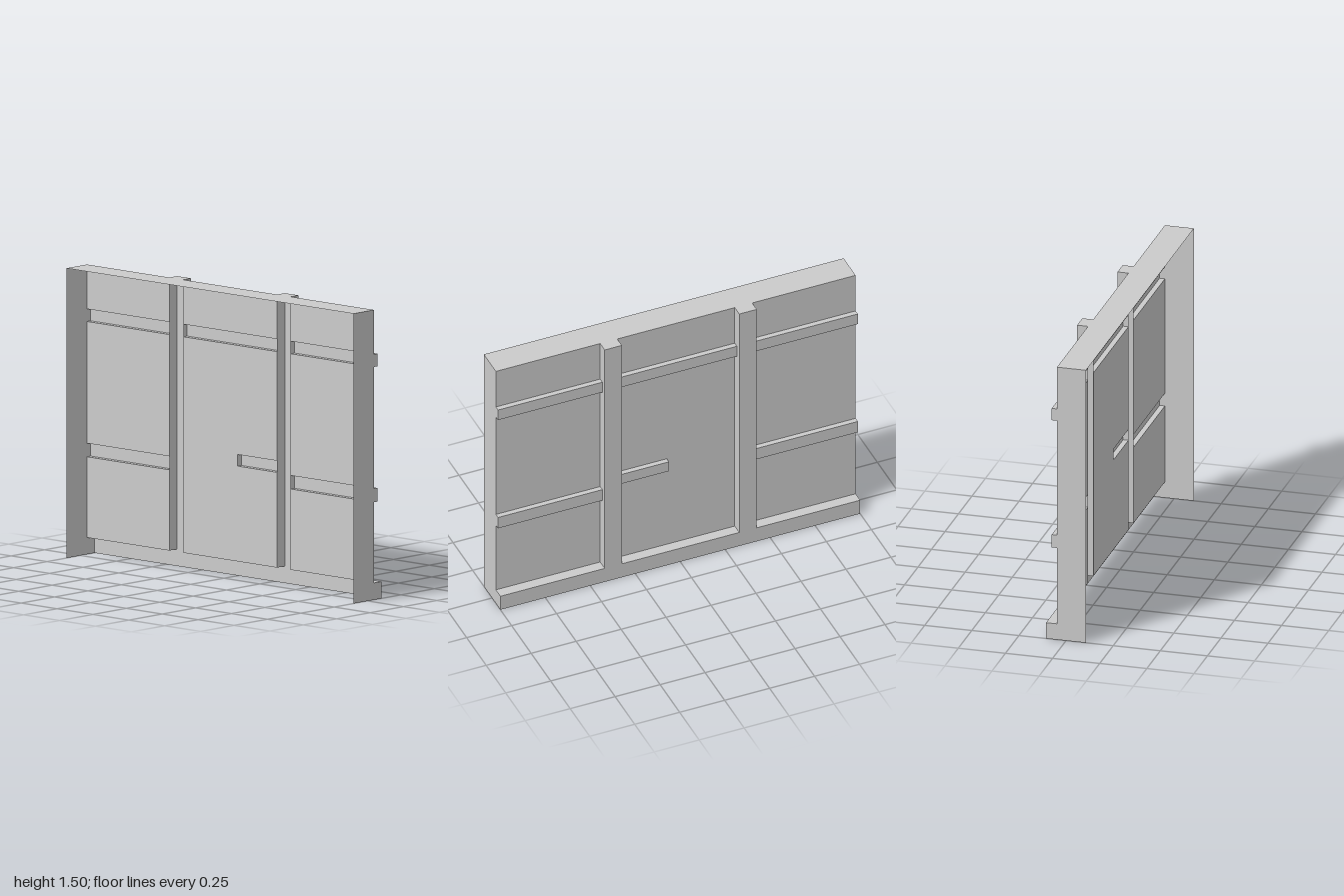
import * as THREE from 'three';
import { mergeGeometries } from 'three/addons/utils/BufferGeometryUtils.js';

// Depth levels along x
const BACK = -0.106, PANEL = 0.048, RAIL = 0.076, POST = 0.106;
// Heights
const TOP = 1.5, BASE = 0.087;
const UPPER = [1.205, 1.27], LOWER = [0.505, 0.575], GRIP = [0.58, 0.64];

const material = new THREE.MeshStandardMaterial({ color: 0xcccccc, side: THREE.DoubleSide });

// Open thin-walled box: only the listed faces are made
// (o = outer +x face, t = top, b = bottom, n / p = the -z / +z end)
function shell(name, [x0, x1], [y0, y1], [z0, z1], faces) {
  const w = x1 - x0, h = y1 - y0, d = z1 - z0;
  const make = {
    o: () => new THREE.PlaneGeometry(d, h).rotateY(Math.PI / 2).translate(w / 2, 0, 0),
    t: () => new THREE.PlaneGeometry(w, d).rotateX(-Math.PI / 2).translate(0, h / 2, 0),
    b: () => new THREE.PlaneGeometry(w, d).rotateX(Math.PI / 2).translate(0, -h / 2, 0),
    p: () => new THREE.PlaneGeometry(w, h).translate(0, 0, d / 2),
    n: () => new THREE.PlaneGeometry(w, h).rotateY(Math.PI).translate(0, 0, -d / 2),
  };
  const mesh = new THREE.Mesh(mergeGeometries([...faces].map((f) => make[f]())), material);
  mesh.name = name;
  mesh.position.set((x0 + x1) / 2, (y0 + y1) / 2, (z0 + z1) / 2);
  return mesh;
}

// Flat end wall whose edge follows the base and the rails
function endWall(name, z) {
  const outline = [[BACK, 0], [POST, 0], [POST, BASE], [PANEL, BASE]];
  for (const [y0, y1] of [LOWER, UPPER]) {
    outline.push([PANEL, y0], [RAIL, y0], [RAIL, y1], [PANEL, y1]);
  }
  outline.push([PANEL, TOP], [BACK, TOP]);
  const shape = new THREE.Shape(outline.map(([x, y]) => new THREE.Vector2(x, y)));
  const geometry = new THREE.ShapeGeometry(shape);
  if (z < 0) geometry.rotateY(Math.PI).scale(-1, 1, 1); 
  const mesh = new THREE.Mesh(z < 0 ? flip(geometry) : geometry, material);
  mesh.name = name;
  mesh.position.z = z;
  return mesh;
}

// Turn the faces round to look along -z
function flip(geometry) {
  const index = geometry.index.array.slice();
  const a = index[0], b = index[1], c = index[2];
  const pos = geometry.attributes.position;
  const turn = (pos.getX(b) - pos.getX(a)) * (pos.getY(c) - pos.getY(a))
    - (pos.getY(b) - pos.getY(a)) * (pos.getX(c) - pos.getX(a));
  if (turn > 0) index.reverse();
  geometry.setIndex([...index]);
  geometry.computeVertexNormals();
  return geometry;
}

// One bay: flat panel strips with hollow rails between them
function bay(name, z, rails) {
  const group = new THREE.Group();
  group.name = name;
  let y = BASE;
  for (const rail of [...rails, [TOP, TOP]]) {
    group.add(shell('panel', [BACK, PANEL], [y, rail[0]], z, 'o'));
    if (rail[0] < TOP) group.add(shell('rail', [PANEL, RAIL], rail, z, 'otb'));
    y = rail[1];
  }
  return group;
}

export function createModel() {
  const model = new THREE.Group();
  model.name = 'wallSection';
  const postA = [0.325, 0.42], postB = [-0.425, -0.328];
  const gripEnd = 0.05;

  // Top cover, base and end walls; back and underside stay open
  model.add(shell('topCover', [BACK, PANEL], [0, TOP], [-1, 1], 't'));
  model.add(shell('base', [PANEL, POST], [0, BASE], [-1, 1], 'o'));
  model.add(endWall('frontEndWall', 1), endWall('backEndWall', -1));

  // Posts
  for (const z of [postA, postB]) {
    model.add(shell('post', [PANEL, POST], [BASE, TOP], z, 'otnp'));
  }

  // Bays and the base ledge below each
  const bays = [['frontBay', [postA[1], 1]], ['middleBay', [postB[1], postA[0]]], ['backBay', [-1, postB[0]]]];
  for (const [name, z] of bays) {
    model.add(shell('baseLedge', [PANEL, POST], [0, BASE], z, 't'));
    if (name !== 'middleBay') model.add(bay(name, z, [LOWER, UPPER]));
  }

  // Middle bay: one rail, and a short grip sunk through the panel
  const middle = new THREE.Group();
  middle.name = 'middleBay';
  const full = bays[1][1], face = [BACK, PANEL];
  middle.add(
    shell('panel', face, [BASE, GRIP[0]], full, 'o'),
    shell('panel', face, GRIP, [full[0], gripEnd], 'o'),
    shell('panel', face, [GRIP[1], UPPER[0]], full, 'o'),
    shell('panel', face, [UPPER[1], TOP], full, 'o'),
    shell('rail', [PANEL, RAIL], UPPER, full, 'otb'),
    shell('grip', [PANEL, RAIL], GRIP, [gripEnd, full[1]], 'otbn'),
  );
  model.add(middle);
  return model;
}
